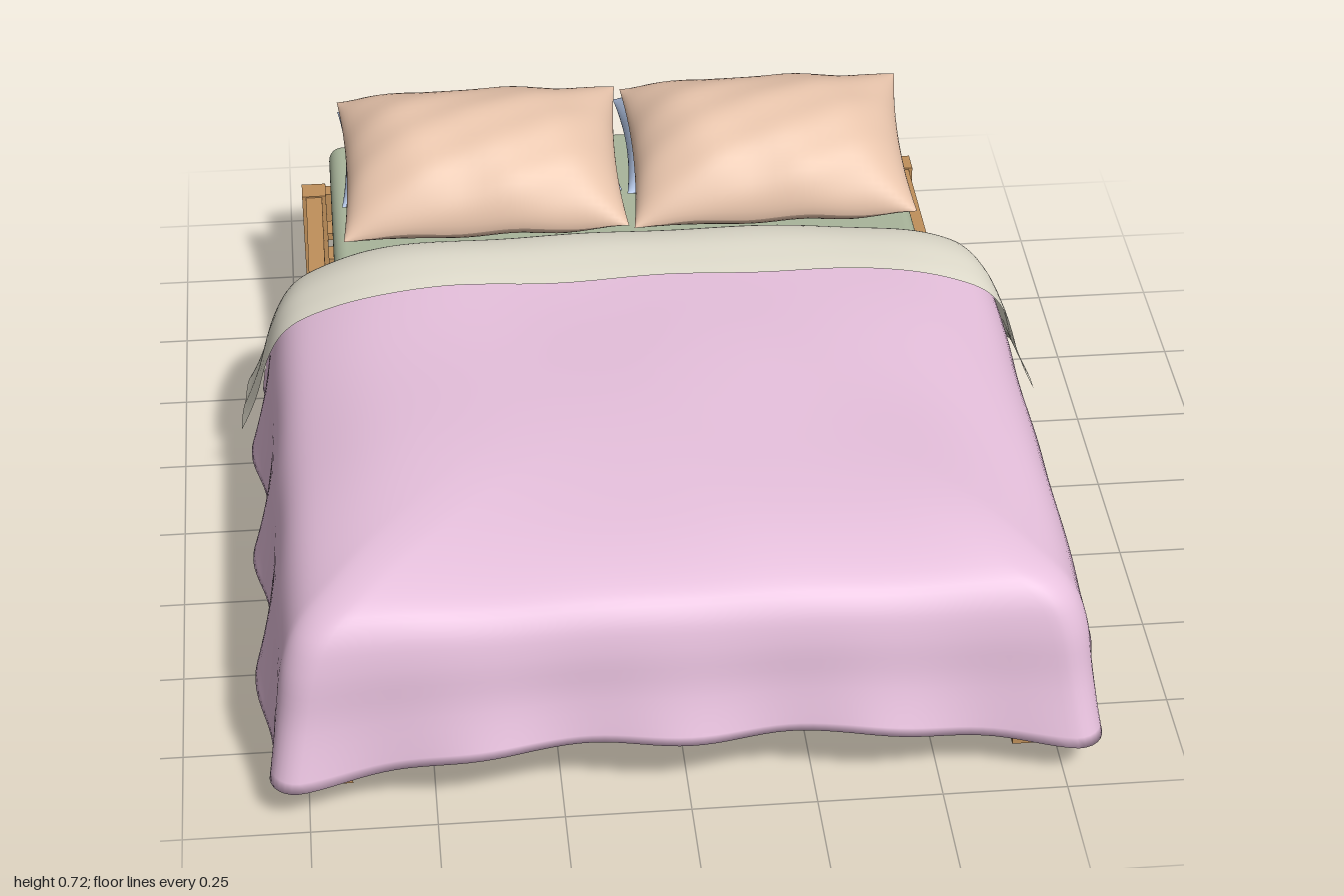
import * as THREE from 'three';
import { mergeGeometries } from 'three/addons/utils/BufferGeometryUtils.js';
import { RoundedBoxGeometry } from 'three/addons/geometries/RoundedBoxGeometry.js';

const mat = (name, color, side = THREE.FrontSide) => {
  const m = new THREE.MeshStandardMaterial({ color, side });
  m.name = name;
  return m;
};
const { smoothstep, lerp, clamp } = THREE.MathUtils;

// Smooth grid surface; f(u, v) returns [x, y, z] for u, v in 0..1
function surface(nu, nv, f) {
  const pos = [], idx = [];
  for (let i = 0; i <= nu; i++)
    for (let j = 0; j <= nv; j++) pos.push(...f(i / nu, j / nv));
  for (let i = 0; i < nu; i++)
    for (let j = 0; j < nv; j++) {
      const a = i * (nv + 1) + j, b = a + nv + 1;
      idx.push(a, a + 1, b, b, a + 1, b + 1);
    }
  const g = new THREE.BufferGeometry();
  g.setAttribute('position', new THREE.Float32BufferAttribute(pos, 3));
  g.setIndex(idx);
  g.computeVertexNormals();
  return g;
}
const spline = pts => new THREE.SplineCurve(pts.map(p => new THREE.Vector2(...p)));

// Drape from the middle of the bed to the hem: half width, height, foot depth
const TOP = 0.518, HEM = 0.142;
const rows = [
  [0, TOP, 0.155], [0.22, TOP, 0.375], [0.42, 0.514, 0.58], [0.58, 0.497, 0.745], [0.69, 0.463, 0.87],
  [0.755, 0.42, 0.921], [0.79, 0.35, 0.943], [0.81, 0.25, 0.954], [0.832, HEM, 0.98],
];
const drape = spline(rows);
const foot = spline(rows.map(([, y, f]) => [f, y]));

const wrinkle = (x, z) =>
  0.005 * Math.sin(7 * x + 5 * z) * Math.sin(4 * z - 3 * x + 1) + 0.003 * Math.sin(15 * x - 9 * z);

// Blanket: U-shaped rings around the sides and foot, outer skin then inner skin
function blanketGeometry() {
  const N = 36, rings = 2 * N + 1, along = 180;
  return surface(rings, along, (u, t) => {
    const i = Math.round(u * rings), inner = i > N;
    const q = inner ? (rings - i) / N : i / N;
    const p = drape.getPoint(q);
    const drop = clamp((TOP - p.y) / (TOP - HEM), 0, 1);
    const k = 1 - Math.abs(2 * t - 1), side = t < 0.5 ? 1 : -1;
    const thick = inner && k > 0 ? 0.018 : 0;
    const w = Math.max(0, p.x - thick), r = Math.min(w, 0.07);
    const f = foot.getPoint(q).x - thick;
    let x, z, nx = 0, nz = 0;
    if (k < 0.55) {
      // the top stops under the fold, the hem runs further back
      x = w; z = lerp(lerp(-0.2, -0.33, smoothstep(drop, 0.1, 0.9)), f - r, k / 0.55); nx = 1;
    } else if (k < 0.65) {
      const a = (k - 0.55) / 0.1 * Math.PI / 2;
      nx = Math.cos(a); nz = Math.sin(a);
      x = w - r + r * nx; z = f - r + r * nz;
    } else {
      x = (w - r) * (1 - (k - 0.65) / 0.35); z = f; nz = 1;
    }
    x *= side;
    // hanging folds near the hem, lower corners, soft wrinkles on top
    const wave = drop ** 3 *
      (0.016 * nx * nx * Math.cos((z - 0.29) * 16.5) + 0.014 * nz * nz * Math.cos(x * 15.7));
    const corner = smoothstep(z, 0.5, 0.95) * smoothstep(Math.abs(x), 0.3, 0.8);
    const lift = 0.015 * drop * nz * nz * (1 - corner);
    const y = TOP - (TOP - p.y) * (1 + 0.14 * drop * corner) - thick * (1 - drop) + lift
      + (wrinkle(x, z) - 0.004 * smoothstep(z, 0.4, 0.85)) * (1 - drop);
    return [x + nx * side * wave, y, z + nz * wave];
  });
}

// Turned-back band at the head of the blanket, curling down onto the mattress
function foldGeometry() {
  const curl = spline([
    [-0.36, -0.115], [-0.395, -0.112], [-0.412, -0.095], [-0.395, -0.06],
    [-0.35, -0.025], [-0.27, 0.0], [-0.18, 0.008], [-0.12, 0.009],
  ]);
  return surface(96, 32, (u, v) => {
    const s = 2 * u - 1, a = Math.abs(s), side = Math.sign(s);
    const p = drape.getPoint(a), n = drape.getTangent(a);
    const drop = (TOP - p.y) / (TOP - HEM), c = curl.getPoint(v);
    const h = c.y < 0 ? c.y * (1 - 0.85 * drop) : c.y;
    const off = h + 0.006 * drop + 0.02 * drop ** 3;
    // outward normal of the drape profile is (-tangent.y, tangent.x)
    const x = side * (p.x - n.y * off);
    const y = p.y + n.x * off + 0.035 * drop ** 3 + wrinkle(x, c.x) * (1 - drop);
    const z = -0.12 + (c.x + 0.12) * (1 - 0.28 * drop * drop);
    return [x, y, z];
  });
}

// Pillow: two puffed skins meeting at a sharp seam with pulled-out corners
function pillowGeometry(hw, hd, up, down) {
  const skin = dir => surface(36, 28, (u, v) => {
    const a = Math.sin((u - 0.5) * Math.PI), b = dir * Math.sin((v - 0.5) * Math.PI);
    const puff = Math.pow(Math.max(0, (1 - Math.abs(a) ** 3) * (1 - b * b)), 0.6);
    const crease = 0.004 * Math.sin(9 * a + 4 * b) * Math.sin(7 * b - 2 * a) * Math.sqrt(puff);
    const seam = 0.005 * Math.sin(a * 8) * b * b;
    return [
      a * hw * (1 - 0.045 * (1 - b * b)),
      dir * (dir > 0 ? up : down) * puff + crease + seam,
      b * hd * (1 - 0.03 * (1 - a * a)),
    ];
  });
  return mergeGeometries([skin(1), skin(-1)]);
}

export function createModel() {
  const bed = new THREE.Group();
  bed.name = 'bed';
  const wood = mat('wood', 0xc0905b);
  const green = mat('mattressGreen', 0xa9b59b);
  const pink = mat('blanketPink', 0xebc4e1, THREE.DoubleSide);
  const cream = mat('liningCream', 0xe6e2d2, THREE.DoubleSide);
  const blue = mat('pillowBlue', 0xb8cbec);
  const tan = mat('pillowTan', 0xebc7ae);

  const add = (name, geometry, material, x = 0, y = 0, z = 0, parent = bed) => {
    const m = new THREE.Mesh(geometry, material);
    m.name = name;
    m.position.set(x, y, z);
    parent.add(m);
    return m;
  };
  const box = (...s) => new THREE.BoxGeometry(...s);

  // Wooden frame
  const frame = new THREE.Group();
  frame.name = 'frame';
  bed.add(frame);
  for (const s of [1, -1]) {
    add('backLeg', box(0.055, 0.256, 0.055), wood, s * 0.69, 0.128, -0.972, frame);
    add('frontLeg', box(0.055, 0.256, 0.055), wood, s * 0.69, 0.128, 0.832, frame);
    add('sideRail', box(0.037, 0.105, 1.76), wood, s * 0.69, 0.2, -0.07, frame);
  }
  add('headRail', box(1.34, 0.105, 0.037), wood, 0, 0.2, -0.975, frame);
  add('footRail', box(1.34, 0.105, 0.037), wood, 0, 0.2, 0.835, frame);

  // Slats across the frame
  for (let i = 0; i < 16; i++)
    add('slat', box(1.325, 0.018, 0.055), wood, 0, 0.192, -0.895 + i * 0.1107, frame);

  // Mattress
  add('mattress', new RoundedBoxGeometry(1.3, 0.2, 1.74, 5, 0.03), green, 0, 0.302, -0.068);

  // Bedding
  add('blanket', blanketGeometry(), pink);
  add('blanketFold', foldGeometry(), cream);

  // Pillows: two lying flat at the head, two leaning on them
  const backPillow = pillowGeometry(0.31, 0.2, 0.11, 0.1);
  const frontPillow = pillowGeometry(0.31, 0.203, 0.124, 0.1);
  for (const s of [1, -1]) {
    add('backPillow', backPillow, blue, s * 0.316, 0.503, -0.708).rotation.x = 0.02;
    add('frontPillow', frontPillow, tan, s * 0.316, 0.583, -0.522).rotation.x = 0.31;
  }
  return bed;
}
